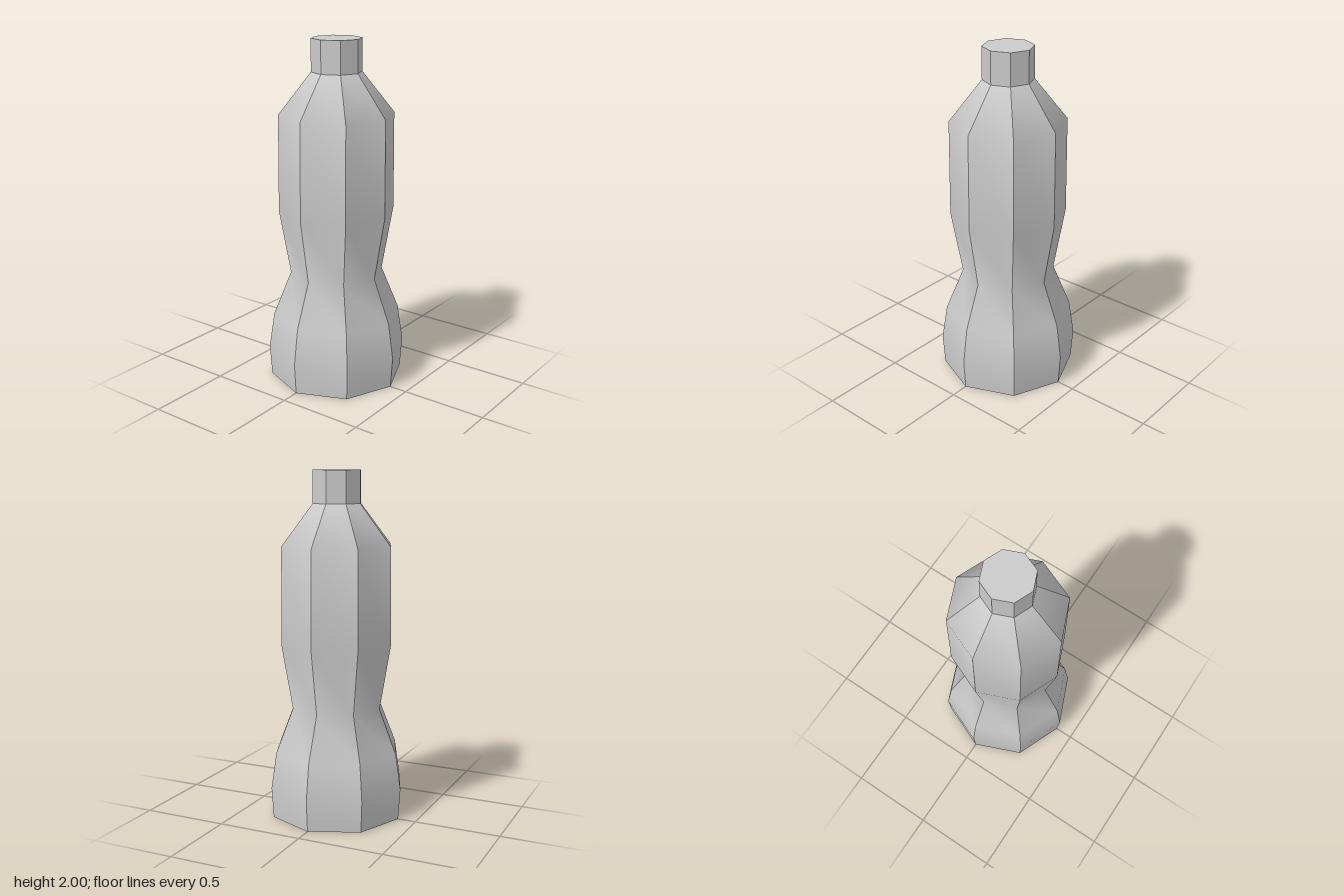
import * as THREE from 'three';
import { mergeGeometries } from 'three/addons/utils/BufferGeometryUtils.js';

const SIDES = 8;
const STEP = (Math.PI * 2) / SIDES;

// Eight-sided shell: each facet is smooth along its height, with hard edges between facets.
function facetedShell(profile) {
  const points = profile.map(([r, y]) => new THREE.Vector2(r, y));
  const facets = [];
  for (let i = 0; i < SIDES; i++) {
    const facet = new THREE.LatheGeometry(points, 1, i * STEP, STEP);
    facet.computeVertexNormals();
    facets.push(facet);
  }
  return mergeGeometries(facets);
}

// Flat octagon closing an end of the shell.
function endFace(radius, y, up) {
  const face = new THREE.CircleGeometry(radius, SIDES);
  face.rotateX(up ? -Math.PI / 2 : Math.PI / 2);
  face.translate(0, y, 0);
  return face;
}

export function createModel() {
  const group = new THREE.Group();
  group.name = 'bottle';
  const material = new THREE.MeshStandardMaterial({ color: 0xcccccc });
  const add = (name, parts) => {
    const mesh = new THREE.Mesh(mergeGeometries(parts), material);
    mesh.name = name;
    group.add(mesh);
  };

  // Body with a bulging foot, pinched waist and sloping shoulder
  const body = [
    [0.393, 0], [0.405, 0.18], [0.373, 0.39], [0.27, 0.645],
    [0.335, 1.02], [0.33, 1.58], [0.144, 1.815],
  ];
  add('body', [facetedShell(body), endFace(0.393, 0, false)]);

  // Straight cap on the neck
  add('cap', [facetedShell([[0.144, 1.815], [0.144, 2]]), endFace(0.144, 2, true)]);

  return group;
}
